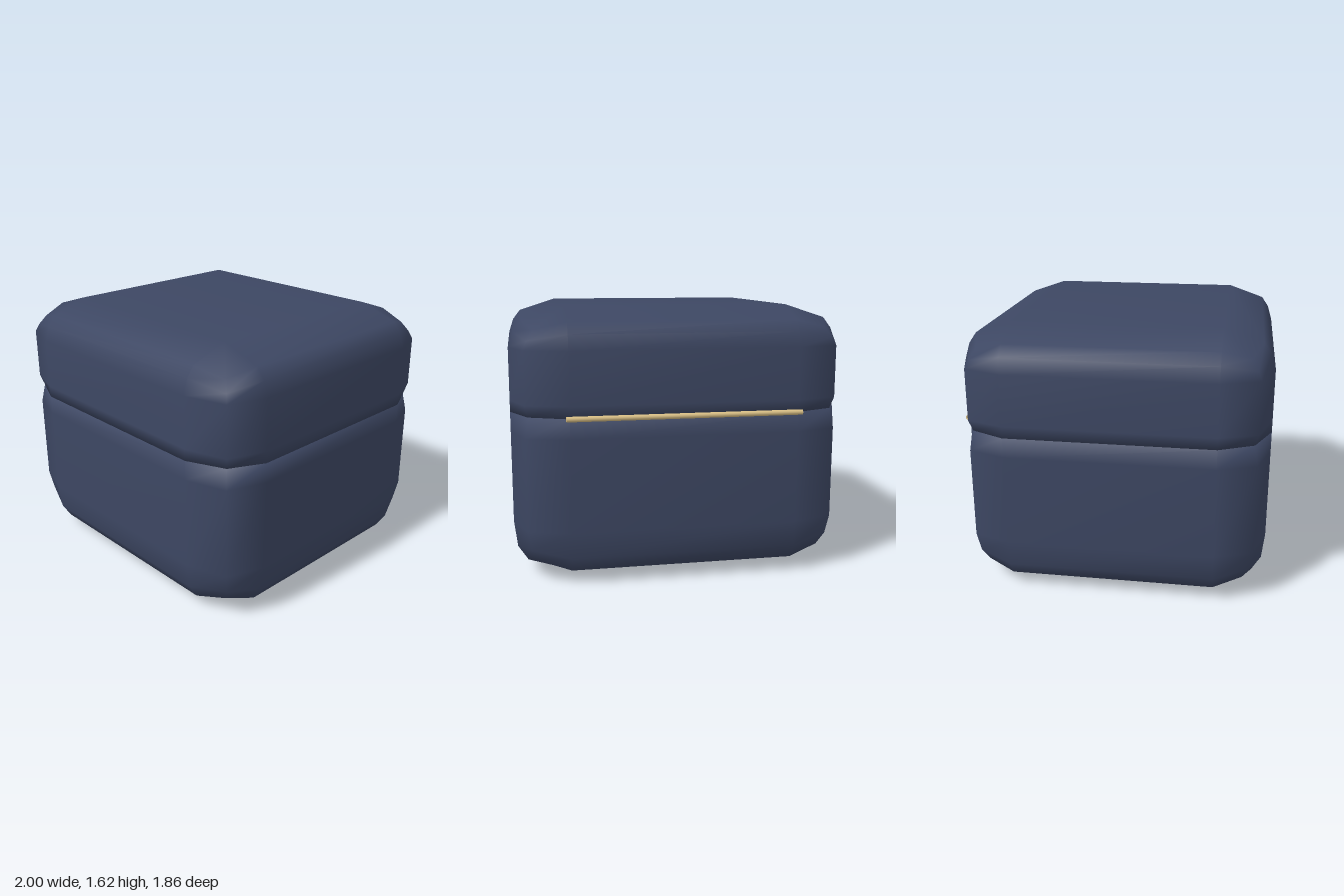
import * as THREE from 'three';
import { mergeVertices } from 'three/addons/utils/BufferGeometryUtils.js';

const FLAT_X = 0.67, FLAT_Z = 0.615; // half size of the flat part of each side

// One 12-point loop: x, z are the side extents at height y; cx, cz, cy the corner point
function loop({ y, x, z, cx, cz, cy = y, k = 1 }) {
  const corner = [[x, y, FLAT_Z], [cx, cy, cz], [FLAT_X, y, z]];
  const pts = [];
  [[1, 1], [-1, 1], [-1, -1], [1, -1]].forEach(([sx, sz], q) => {
    const c = q % 2 ? [...corner].reverse() : corner;
    c.forEach(p => pts.push([p[0] * sx * k, p[1], p[2] * sz * k]));
  });
  return pts;
}

// Smooth closed shell through loops listed from bottom to top
function shell(rings) {
  const n = 12, index = [];
  const positions = rings.map(loop).flat(2);
  for (let r = 0; r < rings.length - 1; r++) {
    for (let i = 0; i < n; i++) {
      const a = r * n + i, b = r * n + (i + 1) % n, c = a + n, d = b + n;
      index.push(a, c, b, b, c, d);
    }
  }
  const top = (rings.length - 1) * n;
  for (let i = 1; i < n - 1; i++) {
    index.push(0, i, i + 1, top, top + i + 1, top + i);
  }
  const geo = new THREE.BufferGeometry();
  geo.setAttribute('position', new THREE.Float32BufferAttribute(positions, 3));
  geo.setIndex(index);
  const merged = mergeVertices(geo, 1e-4);
  merged.computeVertexNormals();
  return merged;
}

export function createModel() {
  const group = new THREE.Group();
  const cover = new THREE.MeshStandardMaterial({ color: 0x3d4763 });
  const brass = new THREE.MeshStandardMaterial({ color: 0xd9bf85 });
  const add = (name, geo, mat) => {
    const mesh = new THREE.Mesh(geo, mat);
    mesh.name = name;
    group.add(mesh);
    return mesh;
  };

  const full = y => ({ y, x: 1, z: 0.9175, cx: 0.92, cz: 0.84 });
  const flat = y => ({ y, x: FLAT_X, z: FLAT_Z, cx: FLAT_X, cz: FLAT_Z });
  const seam = { y: 1, x: 1, z: 0.9175, cx: 0.9, cz: 0.82 };
  const rim = { ...seam, k: 0.9 };

  // Lower half, rounded at the bottom
  add('base', shell([
    flat(0),
    { y: 0.08, x: 0.92, z: 0.845, cx: 0.86, cz: 0.785, cy: 0.13 },
    { y: 0.17, x: 0.98, z: 0.9, cx: 0.9, cz: 0.82, cy: 0.21 },
    full(0.33), full(0.88), seam, rim,
  ]), cover).position.z = 0.0075;

  // Lid, rounded at the top
  add('lid', shell([
    rim, seam, full(1.07), full(1.38),
    { y: 1.47, x: 0.97, z: 0.89, cx: 0.9, cz: 0.82, cy: 1.43 },
    { y: 1.535, x: 0.92, z: 0.845, cx: 0.86, cz: 0.785, cy: 1.49 },
    flat(1.615),
  ]), cover).position.z = 0.0075;

  // Hinge pin along the back of the seam
  const hinge = add('hinge', new THREE.CylinderGeometry(0.016, 0.016, 1.38, 12), brass);
  hinge.rotation.z = Math.PI / 2;
  hinge.position.set(0, 1, -0.917);

  return group;
}
